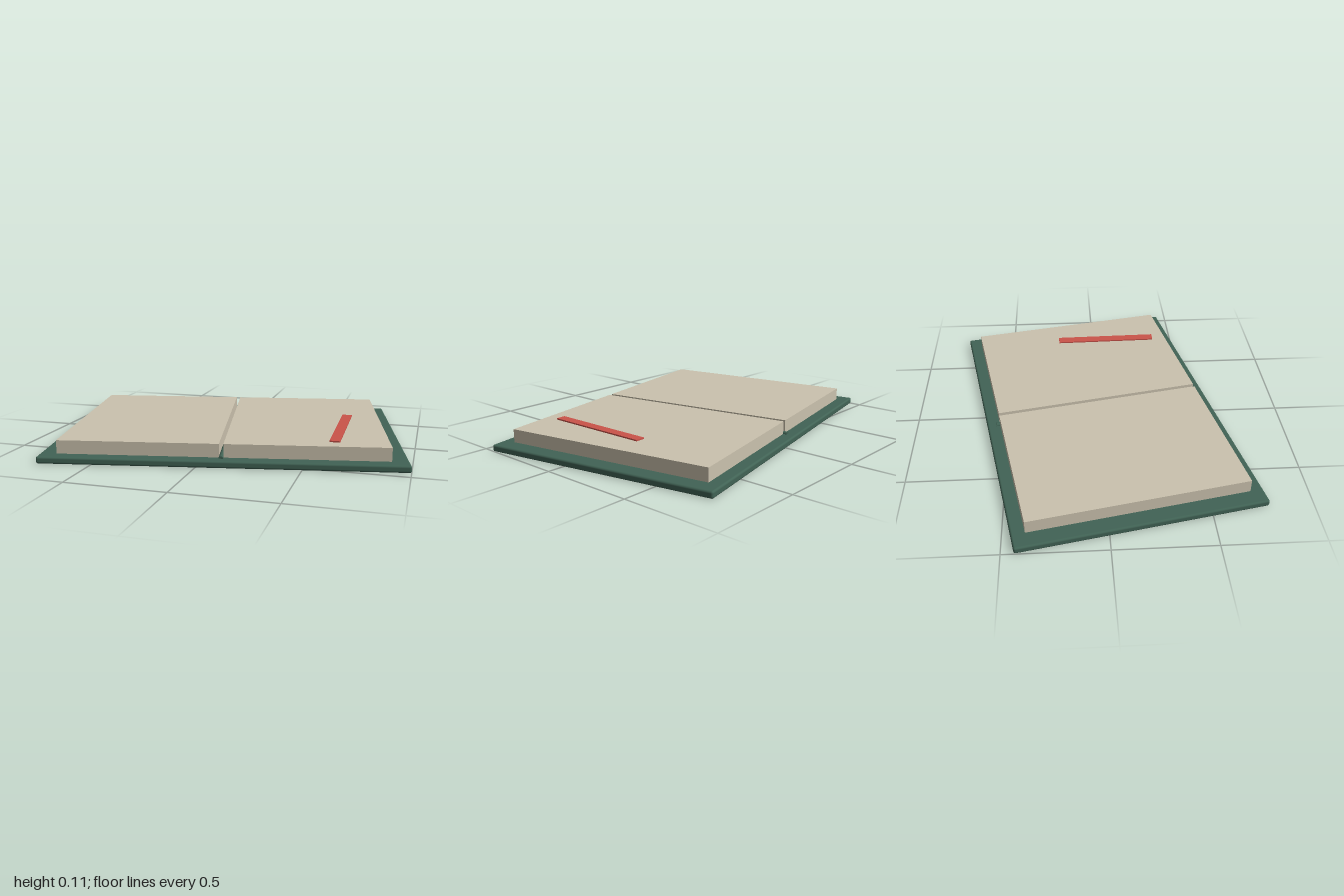
import * as THREE from 'three';
import { RoundedBoxGeometry } from 'three/addons/geometries/RoundedBoxGeometry.js';

const TILT = 0.192; // the open book lies turned on the table

function material(name, color) {
  const m = new THREE.MeshStandardMaterial({ color });
  m.name = name;
  return m;
}

function addMesh(parent, name, geometry, mat, x, y, z) {
  const mesh = new THREE.Mesh(geometry, mat);
  mesh.name = name;
  mesh.position.set(x, y, z);
  parent.add(mesh);
  return mesh;
}

export function createModel() {
  const green = material('cover green', 0x416355);
  const cream = material('page cream', 0xcbc2ae);
  const red = material('bookmark red', 0xcb534a);

  const model = new THREE.Group();
  model.name = 'openBook';
  const book = new THREE.Group();
  book.name = 'book';
  book.rotation.y = TILT;
  model.add(book);

  // Cover board with softened edges
  const coverHeight = 0.035;
  addMesh(book, 'cover', new RoundedBoxGeometry(1.8, coverHeight, 1.244, 3, 0.01), green, 0, coverHeight / 2, 0);

  // Two page blocks either side of the gutter
  const gap = 0.022, pageWidth = 0.804, pageHeight = 0.068;
  for (const [name, side] of [['rightPages', -1], ['leftPages', 1]]) {
    addMesh(book, name, new THREE.BoxGeometry(pageWidth, pageHeight, 1.11), cream,
      side * (gap + pageWidth) / 2, coverHeight + pageHeight / 2, 0);
  }

  // Spine cord running along the gutter
  const spine = addMesh(book, 'spine', new THREE.CylinderGeometry(0.012, 0.012, 1.15, 16), green, 0, coverHeight, 0);
  spine.rotation.x = Math.PI / 2;

  // Ribbon bookmark lying on the left page
  const ribbon = addMesh(model, 'bookmark', new THREE.BoxGeometry(0.052, 0.007, 0.577), red, 0.622, 0.1065, 0.076);
  ribbon.rotation.y = 0.02;

  return model;
}
